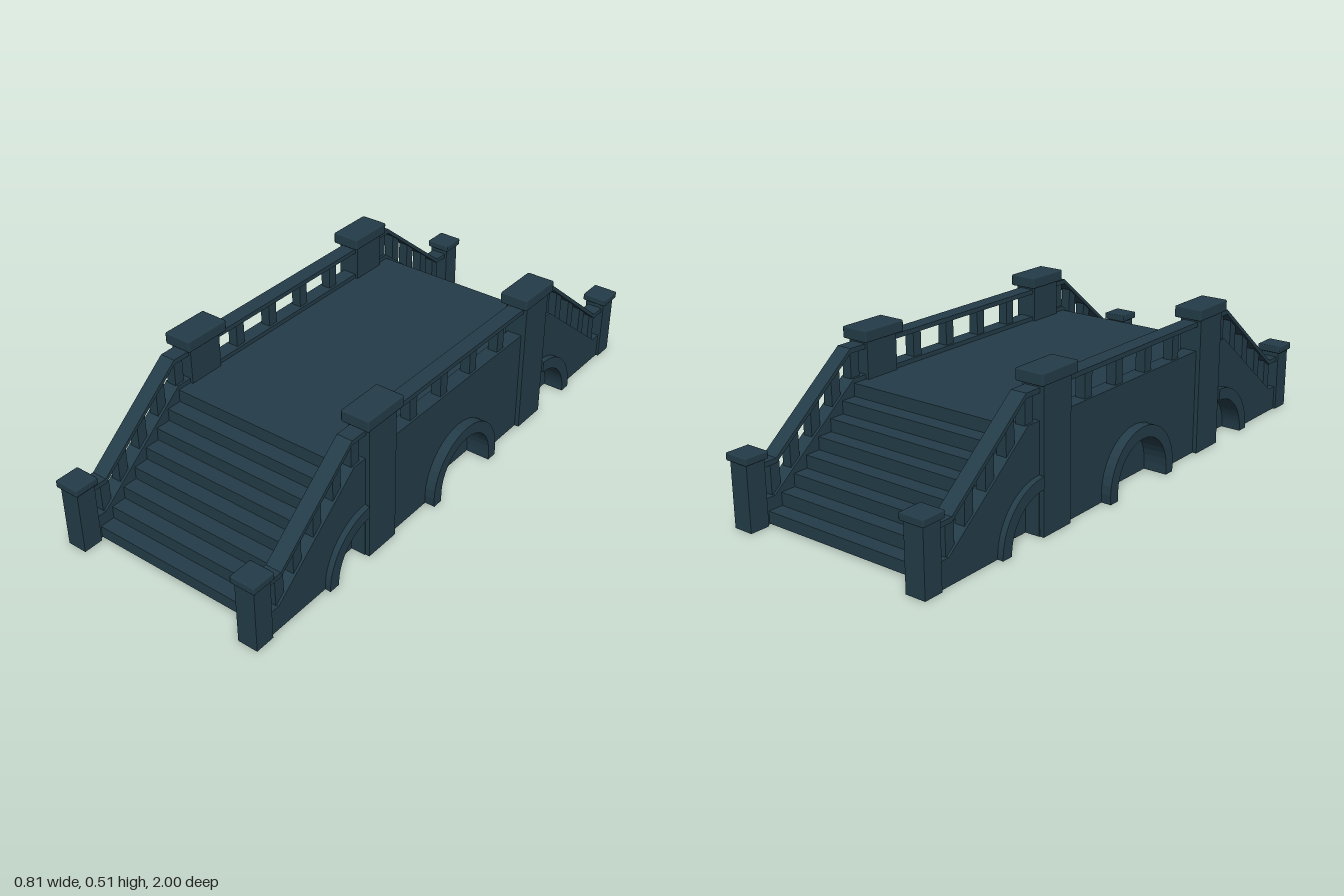
import * as THREE from 'three';
import { RoundedBoxGeometry } from 'three/addons/geometries/RoundedBoxGeometry.js';

export function createModel() {
  const bridge = new THREE.Group();
  bridge.name = 'bridge';
  const stone = new THREE.MeshStandardMaterial({ color: 0x243d49 });
  stone.name = 'dark teal stone';
  const pale = new THREE.MeshStandardMaterial({ color: 0xd0d0d0 });
  pale.name = 'pale underside';

  function add(name, geometry, x, y, z, material = stone) {
    const mesh = new THREE.Mesh(geometry, material);
    mesh.name = name;
    mesh.position.set(x, y, z);
    bridge.add(mesh);
    return mesh;
  }

  // Extrude a side profile drawn in (z, y) between two x positions
  function addProfile(name, shape, x0, x1) {
    const geometry = new THREE.ExtrudeGeometry(shape, { depth: x1 - x0, bevelEnabled: false, curveSegments: 20 });
    geometry.rotateY(-Math.PI / 2);
    add(name, geometry, x1, 0, 0);
  }
  const polygon = (points) => new THREE.Shape(points.map(([z, y]) => new THREE.Vector2(z, y)));

  // Points along an arc
  function arc(cz, cy, r, from, to, n = 18) {
    return Array.from({ length: n + 1 }, (_, i) => {
      const a = from + (to - from) * i / n;
      return [cz + r * Math.cos(a), cy + r * Math.sin(a)];
    });
  }
  const flip = (points) => points.map(([z, y]) => [-z, y]).reverse();

  // Deck block
  const deckEnd = 0.54, deckTop = 0.345, half = 0.32;
  add('deck', new THREE.BoxGeometry(half * 2, deckTop, deckEnd * 2), 0, deckTop / 2, 0);

  // Stairs at both ends
  const steps = 8, rise = deckTop / steps, run = (0.912 - deckEnd) / (steps - 1);
  const stairs = [[deckEnd - 0.01, 0.003], [0.912, 0.003]];
  for (let i = 0; i < steps; i++) {
    const z = 0.912 - i * run;
    if (i < steps - 1) stairs.push([z, (i + 1) * rise], [z - run, (i + 1) * rise]);
  }
  stairs.push([deckEnd - 0.01, rise * (steps - 1)]);
  for (const s of [1, -1]) {
    addProfile('stairs', polygon(s > 0 ? stairs : flip(stairs)), -half, half);
    const under = new THREE.PlaneGeometry(half * 2, 0.372);
    under.rotateX(Math.PI / 2);
    add('stairUnderside', under, 0, 0.001, s * 0.726, pale);
  }

  // Heights of the wall top and the handrail along z
  const wallY = (z) => THREE.MathUtils.clamp(0.36 - (Math.abs(z) - 0.54) * 0.8, 0.085, 0.36);
  const railY = (z) => THREE.MathUtils.clamp(0.46 - (Math.abs(z) - 0.55) * 0.81, 0.2, 0.46);

  // Side wall with a central arch and a half arch at each end
  const endNotch = [...arc(0.49, 0.005, 0.15, Math.PI / 2, 0), [0.64, 0]];
  const middleNotch = [[-0.137, 0], ...arc(0, 0.03, 0.137, Math.PI, 0), [0.137, 0]];
  const wall = polygon([
    ...flip([[0.49, 0], ...endNotch, [0.93, 0]]),
    ...middleNotch,
    [0.49, 0], ...endNotch, [0.93, 0],
    [0.93, 0.085], [0.884, 0.085], [0.54, 0.36],
    [-0.54, 0.36], [-0.884, 0.085], [-0.93, 0.085],
  ]);

  // Handrail following the slope and the deck
  const railTop = [[0.935, 0.2], [0.871, 0.2], [0.55, 0.46], [-0.55, 0.46], [-0.871, 0.2], [-0.935, 0.2]];
  const rail = polygon([...railTop, ...railTop.map(([z, y]) => [z, y - 0.016]).reverse()]);

  // Raised arch rings
  const middleRing = polygon([
    [0.175, 0], ...arc(0, 0.03, 0.177, 0, Math.PI), [-0.175, 0],
    ...middleNotch,
  ]);
  const endRing = [[0.64, 0], [0.68, 0], ...arc(0.49, 0.005, 0.19, 0, Math.PI / 2), ...endNotch.slice(0, -1)];

  // Both sides of the bridge
  for (const side of [1, -1]) {
    const across = (name, shape, inner, outer) =>
      side > 0 ? addProfile(name, shape, inner, outer) : addProfile(name, shape, -outer, -inner);

    across('sideWall', wall, 0.318, 0.37);
    across('handrail', rail, 0.317, 0.372);
    across('middleArchRing', middleRing, 0.32, 0.405);

    // Balusters
    for (const z of [-0.24, -0.08, 0.08, 0.24, 0.525, 0.61, 0.7, 0.79, 0.87, -0.525, -0.61, -0.7, -0.79, -0.87]) {
      const a = z - 0.018, b = z + 0.018;
      across('baluster', polygon([
        [a, wallY(a) - 0.01], [b, wallY(b) - 0.01], [b, railY(b) - 0.012], [a, railY(a) - 0.012],
      ]), 0.327, 0.362);
    }

    // End arches, tall posts and end posts
    for (const end of [1, -1]) {
      across('endArchRing', polygon(end > 0 ? endRing : flip(endRing)), 0.32, 0.39);
      add('tallPost', new THREE.BoxGeometry(0.077, 0.47, 0.13), side * 0.3465, 0.235, end * 0.422);
      add('tallPostCap', new RoundedBoxGeometry(0.1, 0.04, 0.17, 1, 0.005), side * 0.345, 0.489, end * 0.42);
      add('endPost', new THREE.BoxGeometry(0.07, 0.22, 0.068), side * 0.344, 0.11, end * 0.957);
      add('endPostCap', new RoundedBoxGeometry(0.088, 0.025, 0.086, 1, 0.004), side * 0.344, 0.2285, end * 0.957);
    }
  }
  return bridge;
}
